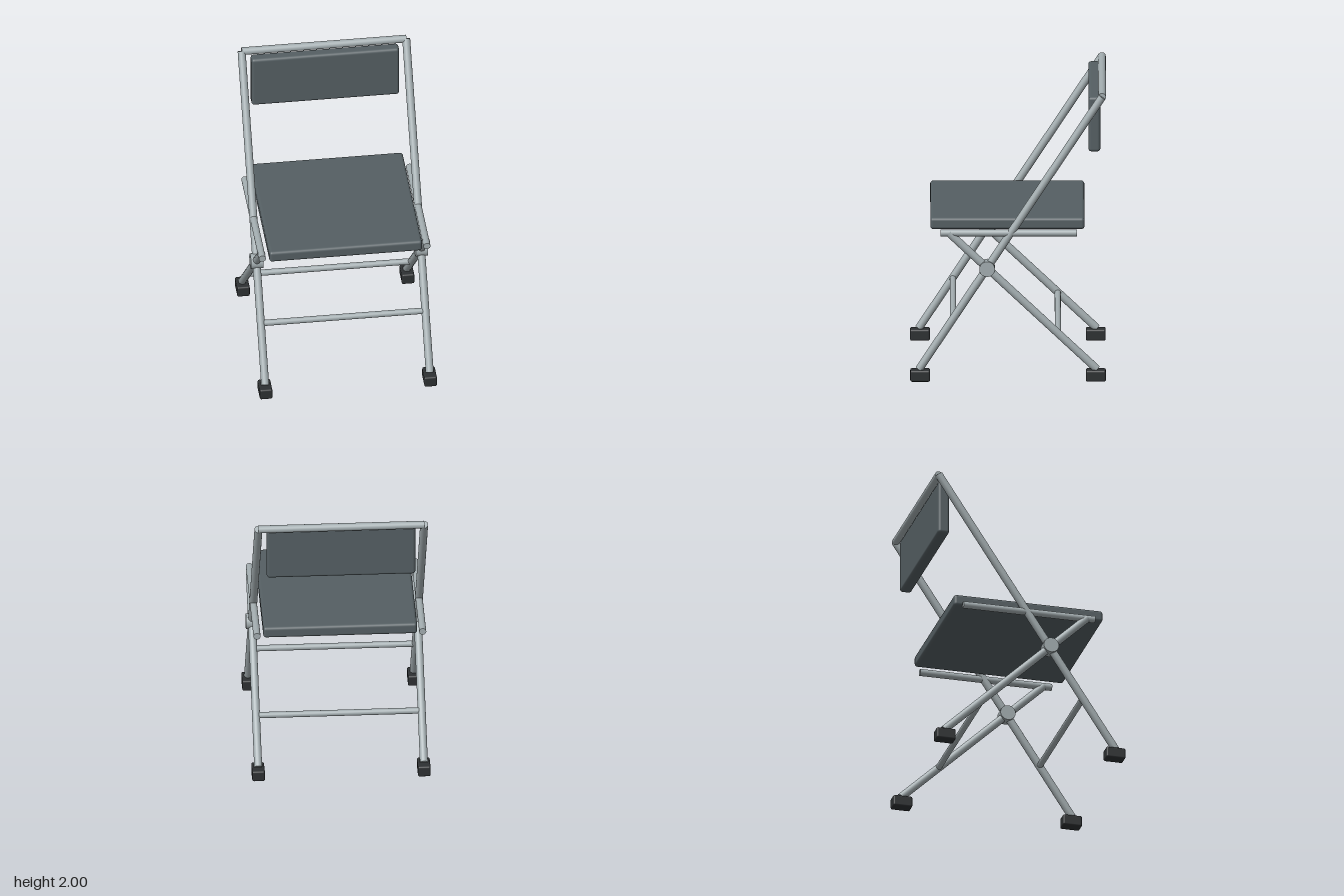
import * as THREE from 'three';
import { RoundedBoxGeometry } from 'three/addons/geometries/RoundedBoxGeometry.js';

const metal = new THREE.MeshStandardMaterial({ color: 0xa3adb0 });
const padding = new THREE.MeshStandardMaterial({ color: 0x555f63 });
const rubber = new THREE.MeshStandardMaterial({ color: 0x2d3032 });

export function createModel() {
  const chair = new THREE.Group();
  chair.name = 'foldingChair';

  // Straight tube between two points
  const tube = (name, from, to, radius, sides = 20) => {
    const a = new THREE.Vector3(...from), b = new THREE.Vector3(...to);
    const dir = b.clone().sub(a);
    const mesh = new THREE.Mesh(new THREE.CylinderGeometry(radius, radius, dir.length(), sides), metal);
    mesh.position.copy(a).add(b).multiplyScalar(0.5);
    mesh.quaternion.setFromUnitVectors(new THREE.Vector3(0, 1, 0), dir.normalize());
    mesh.name = name;
    chair.add(mesh);
  };

  // Box with softened edges
  const pad = (name, size, position, radius, material) => {
    const mesh = new THREE.Mesh(new RoundedBoxGeometry(...size, 3, radius), material);
    mesh.position.set(...position);
    mesh.name = name;
    chair.add(mesh);
  };

  // Side frames, mirrored
  for (const [side, s] of [['left', 1], ['right', -1]]) {
    const x = 0.56 * s;
    tube(side + 'FrontLegAndBackPost', [x, 0.08, 0.6], [x, 1.975, -0.635], 0.027);
    tube(side + 'RearLeg', [x, 0.08, -0.6], [x, 1.03, 0.4], 0.027);
    tube(side + 'SeatRail', [x, 1.028, 0.455], [x, 1.028, -0.465], 0.024);
    tube(side + 'Pivot', [x - 0.042, 0.785, 0.141], [x + 0.042, 0.785, 0.141], 0.053);
    for (const [end, z] of [['Front', 0.593], ['Rear', -0.593]])
      pad(side + end + 'Foot', [0.086, 0.078, 0.134], [x, 0.039, z], 0.012, rubber);
  }

  // Cross bars
  tube('topBar', [-0.56, 1.974, -0.635], [0.56, 1.974, -0.635], 0.026);
  tube('frontCrossBar', [-0.54, 0.43, 0.371], [0.54, 0.43, 0.371], 0.021);
  tube('rearCrossBar', [-0.54, 0.33, -0.337], [0.54, 0.33, -0.337], 0.021);

  // Seat and backrest
  pad('seat', [1.04, 0.08, 1.04], [0, 1.081, 0.004], 0.02, padding);
  pad('backrest', [1.005, 0.38, 0.08], [0, 1.767, -0.583], 0.02, padding);

  return chair;
}
